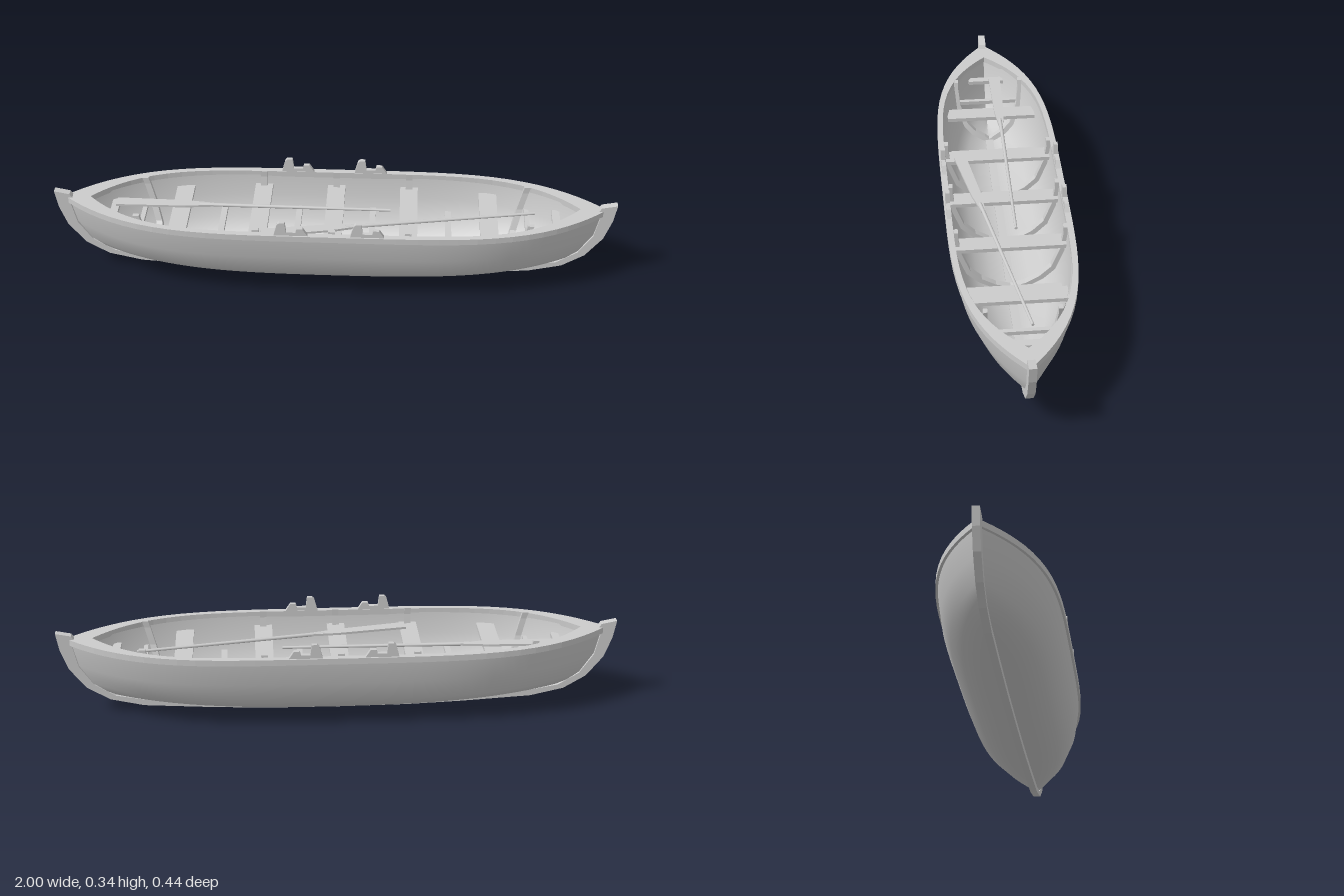
import * as THREE from 'three';

const mat = new THREE.MeshStandardMaterial({ color: 0xcccccc });
const skin = new THREE.MeshStandardMaterial({ color: 0xcccccc, side: THREE.DoubleSide });

// Hull levels from keel to rail: midship half-breadth, height, end x, rise of the line at its ends
const LEVELS = [
  [0, 0.02, 0.75, 0.03], [0.08, 0.035, 0.80, 0.03], [0.13, 0.065, 0.85, 0.02],
  [0.17, 0.105, 0.885, 0.01], [0.2, 0.185, 0.93, 0], [0.21, 0.27, 0.95, 0],
];
const INNER = LEVELS.map(([z, y, e, r], i) =>
  [Math.max(0, z - 0.013), y + (i < 5 ? 0.012 : 0.004), e - 0.065, r]);

const levelPoint = ([z, y, e, rise], u, i) => {
  const p = 3.4 + i * 0.16;
  return [u * e, y + rise * u * u, z * (1 - Math.pow(Math.abs(u), p))];
};

function createModel() {
  const boat = new THREE.Group();
  boat.name = 'rowingBoat';
  const add = (name, geo, parent = boat, material = mat) => {
    const m = new THREE.Mesh(geo, material);
    m.name = name;
    parent.add(m);
    return m;
  };
  const box = (name, w, h, d, x, y, z) => add(name, new THREE.BoxGeometry(w, h, d)).position.set(x, y, z);
  const shapeOf = (pts) => new THREE.Shape(pts.map(([a, b]) => new THREE.Vector2(a, b)));
  const extrude = (shape, depth) =>
    new THREE.ExtrudeGeometry(shape, { depth, bevelEnabled: false }).translate(0, 0, -depth / 2);

  // Skins lofted from the level lines
  const loft = (levels, flip) => {
    const N = 56, pos = [], idx = [];
    const lines = [
      ...levels.map((l, i) => [l, i, -1]).reverse(),
      ...levels.map((l, i) => [l, i, 1]).slice(1),
    ];
    for (const [l, i, side] of lines)
      for (let k = 0; k <= N; k++) {
        const [x, y, z] = levelPoint(l, Math.sin((k / N - 0.5) * Math.PI), i);
        pos.push(x, y, z * side);
      }
    for (let j = 0; j < lines.length - 1; j++)
      for (let k = 0; k < N; k++) {
        const a = j * (N + 1) + k, b = a + 1, c = a + N + 1, d = c + 1;
        if (flip) idx.push(a, c, b, b, c, d);
        else idx.push(a, b, c, b, d, c);
      }
    const g = new THREE.BufferGeometry();
    g.setAttribute('position', new THREE.Float32BufferAttribute(pos, 3));
    g.setIndex(idx);
    g.computeVertexNormals();
    return g;
  };
  add('outerHull', loft(LEVELS, false), boat, skin);
  add('innerHull', loft(INNER, true), boat, skin);

  // Rail with the open well cut out
  const outline = (half, end, p) => {
    const pts = [], N = 40;
    for (const side of [1, -1])
      for (let k = 0; k < N; k++) {
        const u = Math.cos((k / N) * Math.PI) * side;
        pts.push([u * end, side * half * (1 - Math.pow(Math.abs(u), p))]);
      }
    return pts;
  };
  const rail = shapeOf(outline(0.218, 0.965, 4.2));
  rail.holes.push(new THREE.Path(outline(0.196, 0.872, 5).map(([a, b]) => new THREE.Vector2(a, b))));
  add('rail', extrude(rail, 0.022).rotateX(Math.PI / 2).translate(0, 0.279, 0));

  // Keel sweeping up into both stems, as one outline
  const outer = [[0.25, 0.002], [0.45, 0.01], [0.7, 0.025], [0.82, 0.052], [0.9, 0.1], [0.96, 0.175], [0.988, 0.25], [1, 0.315]];
  const inside = [[0.945, 0.304], [0.935, 0.288], [0.945, 0.27], [0.925, 0.185], [0.875, 0.112], [0.8, 0.066], [0.7, 0.048], [0.4, 0.032]];
  const half = [...outer, ...inside];
  const mirrored = half.map(([x, y]) => [-x, y]).reverse();
  add('keelAndStems', extrude(shapeOf([[0, 0], ...half, [0, 0.024], ...mirrored]), 0.026));
  const keelson = [-1, -0.5, 0, 0.5, 1].map((u) => levelPoint(INNER[0], u * 0.95, 0));
  add('keelson', extrude(shapeOf([
    ...keelson.map(([x, y]) => [x, y - 0.004]),
    ...keelson.map(([x, y]) => [x, y + 0.01]).reverse(),
  ]), 0.03));

  // Inner half-breadth at a given x and height
  const innerHalf = (x, y) => {
    const pts = INNER.map((l, i) => levelPoint(l, Math.min(1, Math.abs(x) / l[2]), i));
    for (let i = 0; i < 5; i++) {
      const [, y0, z0] = pts[i], [, y1, z1] = pts[i + 1];
      if (y <= y1) return z0 + (z1 - z0) * Math.max(0, (y - y0) / (y1 - y0));
    }
    return pts[5][2];
  };

  // Thwarts, and narrower stretchers lower down
  for (const x of [-0.55, -0.265, 0, 0.265, 0.55])
    box('thwart', 0.064, 0.014, 2 * innerHalf(x, 0.232) + 0.006, x, 0.232, 0);
  for (const s of [-1, 1]) {
    box('endThwart', 0.028, 0.014, 2 * innerHalf(0.79, 0.232) + 0.004, s * 0.79, 0.232, 0);
    for (const x of [0.135, 0.41])
      box('footStretcher', 0.022, 0.014, 2 * innerHalf(x, 0.15) + 0.006, s * x, 0.15, 0);
    box('endStretcher', 0.016, 0.014, 2 * innerHalf(0.69, 0.2) + 0.004, s * 0.69, 0.2, 0);
  }

  // U-shaped frames against the inner skin, leaning toward the ends when foot and head differ
  const frame = (foot, head, width) => {
    const lean = (y) => foot + (head - foot) * (y / 0.295);
    const right = [];
    INNER.forEach((l, i) => {
      const u = Math.max(-1, Math.min(1, lean(l[1]) / l[2]));
      const [, y, z] = levelPoint(l, u, i);
      right.push([z, y]);
    });
    right.push([right[5][0] - 0.001, 0.298]);
    const inset = right.map(([z, y], i) => [Math.max(0, z - 0.014), i < 5 ? y + 0.012 : y]);
    const flip = (pts) => pts.slice(1).map(([z, y]) => [-z, y]);
    const band = [...flip(right).reverse(), ...right, ...inset.reverse(), ...flip([...inset].reverse())];
    const g = extrude(shapeOf(band), width).rotateY(Math.PI / 2);
    const p = g.attributes.position;
    for (let i = 0; i < p.count; i++) p.setX(i, p.getX(i) + lean(p.getY(i)));
    g.computeVertexNormals();
    add('frame', g);
  };
  for (const x of [-0.265, 0, 0.265]) frame(x, x, 0.024);
  for (const s of [-1, 1]) frame(s * 0.61, s * 0.69, 0.022);

  // Rowlocks: a tall horn and a short one on a common base
  const lock = [[0, 0], [0.012, 0.045], [0.02, 0.052], [0.038, 0.052], [0.043, 0.014],
    [0.076, 0.014], [0.08, 0.028], [0.1, 0.028], [0.118, 0]];
  for (const side of [-1, 1])
    for (const x of [-0.2, 0.065])
      add('rowlock', extrude(shapeOf(lock), 0.015)).position.set(x, 0.289, side * 0.205);

  // Oars resting on the thwarts
  const oar = (x0, z0, x1, z1) => {
    const g = new THREE.Group(), len = Math.hypot(x1 - x0, z1 - z0);
    g.name = 'oar';
    const blade = shapeOf([[0, -0.022], [0.25, -0.018], [0.35, -0.007], [0.35, 0.007], [0.25, 0.018], [0, 0.022]]);
    add('oarBlade', extrude(blade, 0.008).rotateX(Math.PI / 2), g);
    const shaft = new THREE.CylinderGeometry(0.005, 0.007, len - 0.3, 10);
    add('oarShaft', shaft.rotateZ(-Math.PI / 2).translate((len + 0.3) / 2, 0, 0), g);
    g.position.set(x0, 0.247, z0);
    g.rotation.y = -Math.atan2(z1 - z0, x1 - x0);
    boat.add(g);
  };
  oar(-0.785, -0.033, 0.2, -0.025);
  oar(-0.25, 0.14, 0.715, -0.03);

  return boat;
}

export { createModel };
